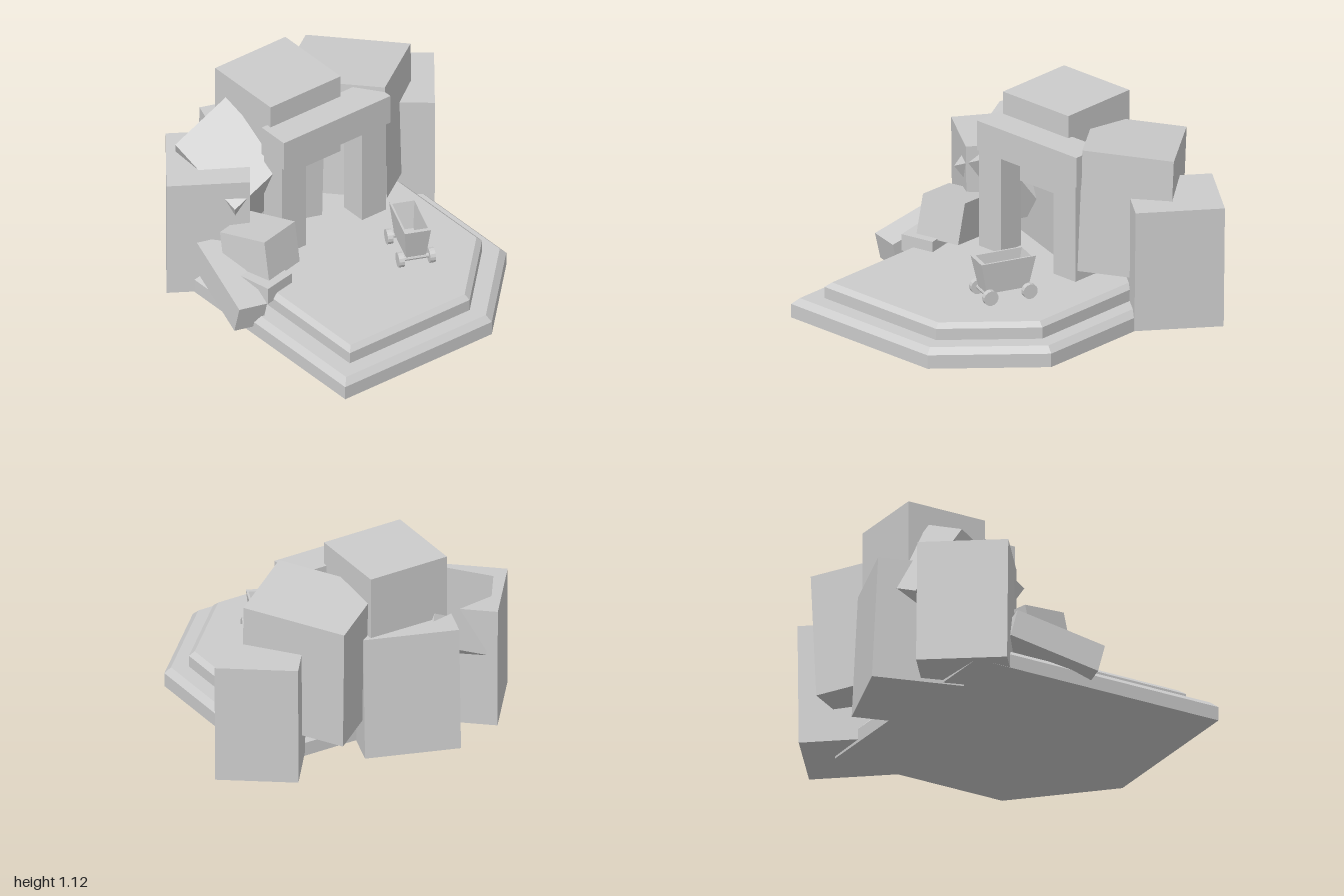
import * as THREE from 'three';
import { ConvexGeometry } from 'three/addons/geometries/ConvexGeometry.js';

const material = new THREE.MeshStandardMaterial({ color: 0xcccccc, flatShading: true });

function add(parent, name, geometry) {
  const mesh = new THREE.Mesh(geometry, material);
  mesh.name = name;
  parent.add(mesh);
  return mesh;
}

// Convex solid around [x, y, z] corners
const hull = (points) => new ConvexGeometry(points.map((p) => new THREE.Vector3(...p)));

// Block from one corner and its three edge vectors
function block(corner, a, b, c) {
  const points = [];
  for (let i = 0; i < 8; i++) {
    points.push(corner.map((v, k) => v + (i & 1) * a[k] + ((i >> 1) & 1) * b[k] + (i >> 2) * c[k]));
  }
  return hull(points);
}

// Upright box from its limits
const upright = (x0, x1, y0, y1, z0, z1) =>
  block([x0, y0, z0], [x1 - x0, 0, 0], [0, y1 - y0, 0], [0, 0, z1 - z0]);

// Platform step: rectangle with one cut corner and a bevelled top edge
function step(x0, x1, z0, z1, cut, y0, y1, y2, inset) {
  const outline = (y, d) => {
    const c = cut - d * 0.586;
    const [l, r, b, f] = [x0 + d, x1 - d, z0 + d, z1 - d];
    return [[l, y, b], [r - c, y, b], [r, y, b + c], [r, y, f], [l, y, f]];
  };
  return hull([...outline(y0, 0), ...outline(y1, 0), ...outline(y2, inset)]);
}

function createCart() {
  const cart = new THREE.Group();
  cart.name = 'cart';

  // Hollow tapered tub
  const profile = [[0, 0.28], [0.76, 0.28], [1, 0.47], [0.85, 0.47], [0.64, 0.31], [0, 0.31]]
    .map(([r, y]) => new THREE.Vector2(r * Math.SQRT2, y));
  const tub = new THREE.LatheGeometry(profile, 4, Math.PI / 4);
  tub.scale(0.167, 1, 0.076);
  add(cart, 'cartTub', tub);

  // Wheels and axles
  for (const x of [-0.12, 0.12]) {
    const axle = new THREE.CylinderGeometry(0.014, 0.014, 0.17, 8);
    axle.rotateX(Math.PI / 2);
    add(cart, 'cartAxle', axle).position.set(x, 0.272, 0);
    for (const z of [-0.09, 0.09]) {
      const wheel = new THREE.CylinderGeometry(0.044, 0.044, 0.032, 14);
      wheel.rotateX(Math.PI / 2);
      add(cart, 'cartWheel', wheel).position.set(x, 0.27, z);
    }
  }
  cart.position.set(0.305, 0, -0.13);
  cart.rotation.y = -0.4;
  return cart;
}

export function createModel() {
  const model = new THREE.Group();
  model.name = 'mineEntrance';

  // Two-step ground platform
  add(model, 'lowerStep', step(-0.6, 0.98, -0.67, 0.865, 0.49, 0.01, 0.092, 0.127, 0.035));
  add(model, 'upperStep', step(-0.5, 0.85, -0.545, 0.73, 0.42, 0.12, 0.195, 0.222, 0.03));

  // Doorway frame
  for (const z of [-0.29, 0.28]) {
    add(model, 'doorPost', upright(-0.28, -0.115, 0.2, 0.82, z, z + 0.17));
  }
  add(model, 'lintel', upright(-0.3, -0.1, 0.81, 0.99, -0.31, 0.45));

  // Large rocks around the doorway
  const rocks = new THREE.Group();
  rocks.name = 'rocks';
  model.add(rocks);
  add(rocks, 'backRock', block([-0.58, 0.735, -1], [0.4, 0.005, 0.31], [-0.29, 0.01, 0.37], [0.005, -0.72, 0.005]));
  add(rocks, 'upperBackRock', block([-0.15, 1.02, -0.31], [-0.3, -0.04, -0.42], [-0.49, -0.05, 0.36], [0.03, -0.73, 0.01]));
  add(rocks, 'sideRock', block([-0.95, 0.75, 0.38], [0.18, 0, -0.52], [0.5, -0.01, 0.17], [-0.035, -0.74, -0.01]));
  add(rocks, 'frontRock', block([-0.47, 0.73, 0.995], [0.28, 0.02, -0.375], [-0.405, 0.01, -0.315], [-0.005, -0.725, -0.005]));
  add(rocks, 'topRock', upright(-0.77, -0.27, 0.62, 1.125, -0.09, 0.41));
  add(rocks, 'tiltedRock', block([-0.65, 1, 0.43], [0, -0.17, 0.36], [0.45, -0.23, -0.07], [-0.2, -0.36, -0.17]));

  // Fallen rubble in front
  add(model, 'fallenSlab', block([0.17, 0.285, 0.775], [-0.04, 0, -0.2], [-0.36, 0, 0.07], [0, -0.1, 0]));
  add(model, 'fallenBlock', block([-0.24, 0.46, 0.795], [0.3, 0.055, -0.08], [-0.06, 0, -0.265], [0.05, -0.24, 0.005]));
  add(model, 'fallenBeam', block([-0.34, 0.37, 0.88], [0.51, -0.14, 0.1], [0.035, -0.01, -0.17], [-0.045, -0.165, 0]));

  model.add(createCart());
  return model;
}
